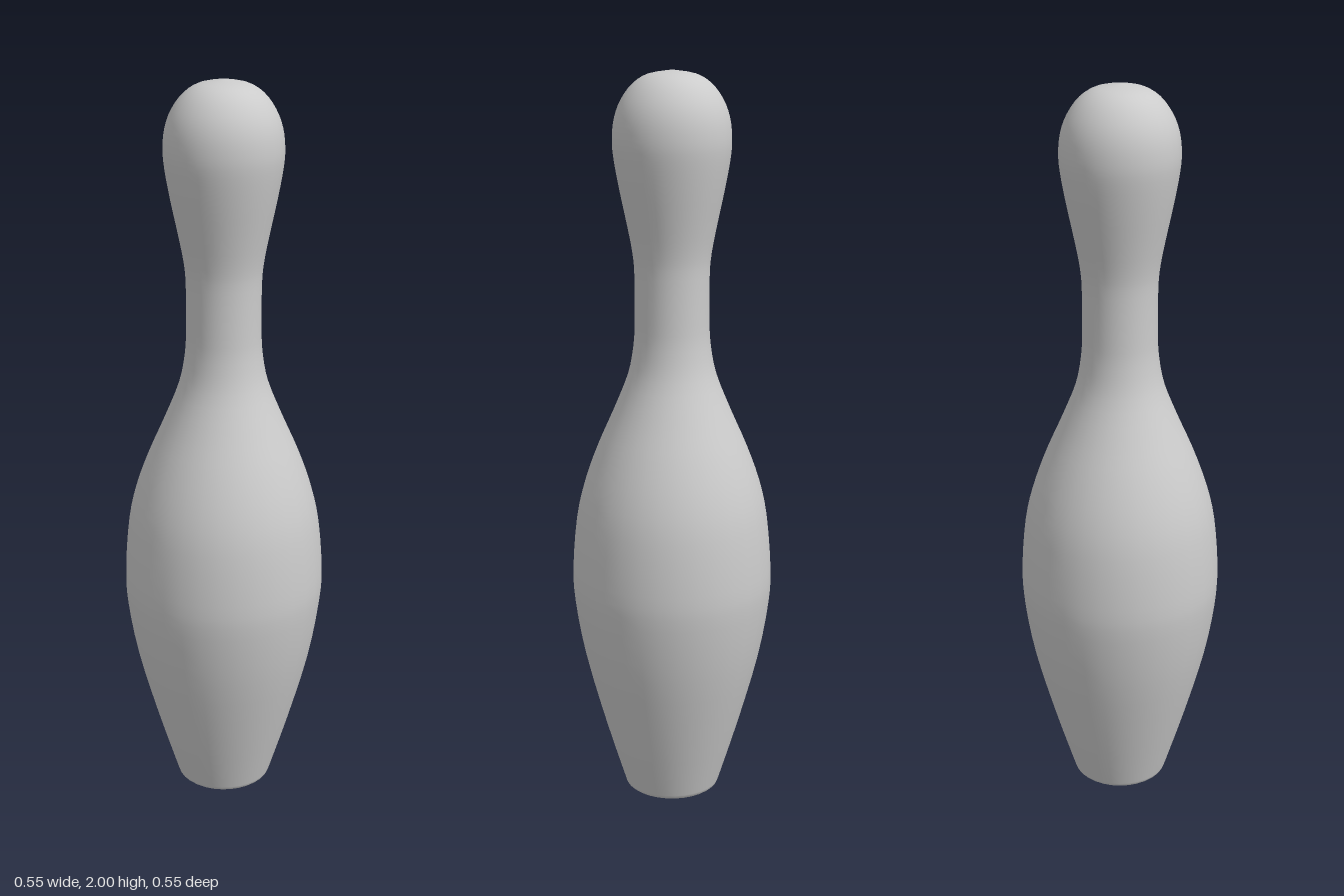
import * as THREE from 'three';

export function createModel() {
  const model = new THREE.Group();
  const material = new THREE.MeshStandardMaterial({ color: 0xcccccc });

  // Smooth silhouette from the foot to the crown: [radius, height]
  const silhouette = [
    [0.134, 0.015], [0.19, 0.2], [0.243, 0.4], [0.27, 0.56], [0.274, 0.66],
    [0.262, 0.8], [0.24, 0.9], [0.204, 1.0], [0.16, 1.1], [0.12, 1.2],
    [0.104, 1.28], [0.1, 1.35], [0.1, 1.47], [0.105, 1.53], [0.118, 1.6],
    [0.139, 1.7], [0.153, 1.78], [0.156, 1.83], [0.15, 1.88], [0.133, 1.925],
    [0.103, 1.965], [0.062, 1.99], [0, 2],
  ].map(([r, y]) => new THREE.Vector2(r, y));
  const curve = new THREE.SplineCurve(silhouette).getPoints(66);
  curve[curve.length - 1].set(0, 2);

  // Flat underside with a small rounded rim
  const base = [[0, 0], [0.114, 0], [0.125, 0.002], [0.131, 0.007]]
    .map(([r, y]) => new THREE.Vector2(r, y));

  const pin = new THREE.Mesh(new THREE.LatheGeometry([...base, ...curve], 32), material);
  pin.name = 'bowlingPin';
  model.add(pin);
  return model;
}
